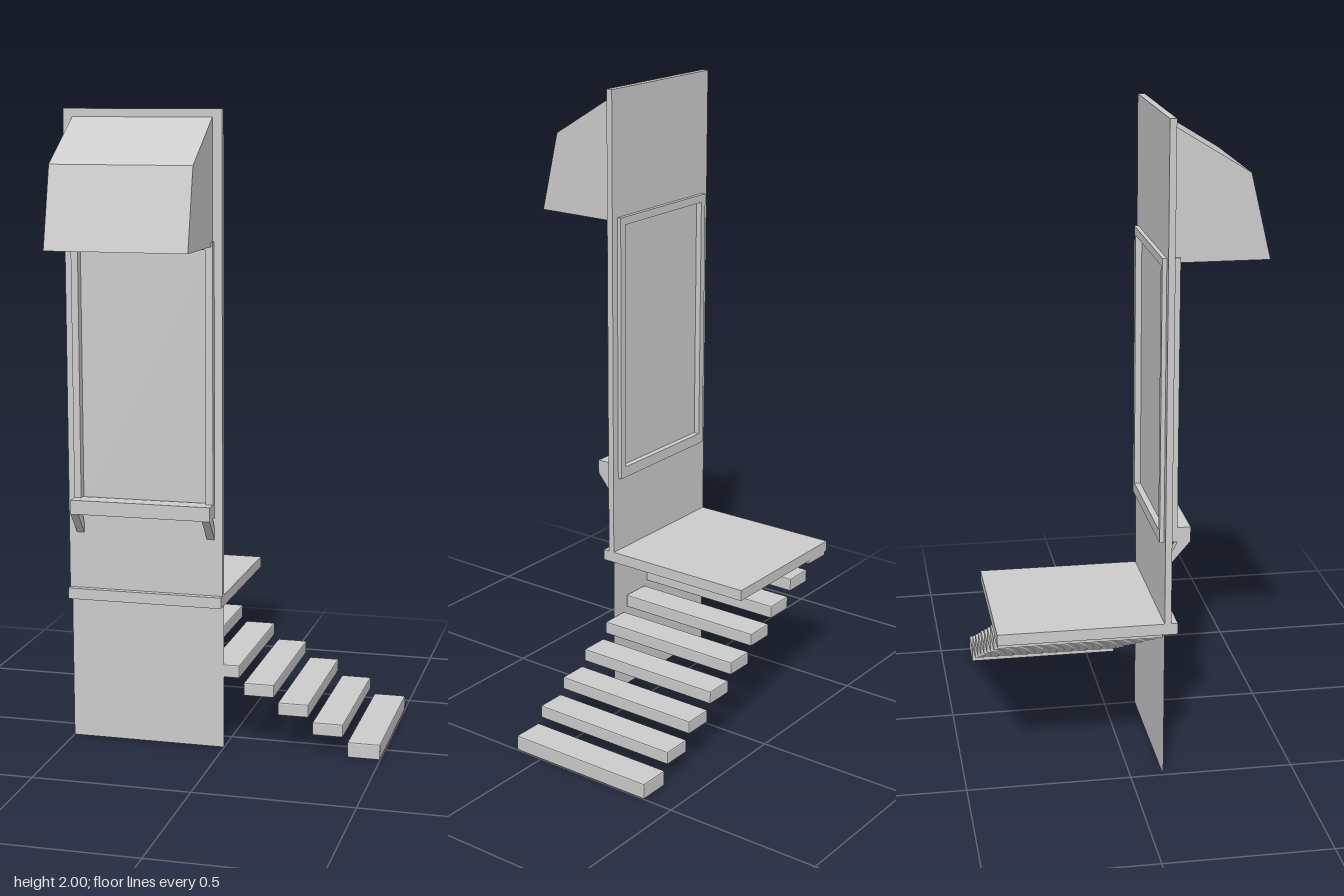
import * as THREE from 'three';
import { RoundedBoxGeometry } from 'three/addons/geometries/RoundedBoxGeometry.js';

const material = new THREE.MeshStandardMaterial({ color: 0xcccccc, flatShading: true });
const sheetMaterial = new THREE.MeshStandardMaterial({ color: 0xcccccc, side: THREE.DoubleSide });

function add(parent, name, geometry, mat = material) {
  const mesh = new THREE.Mesh(geometry, mat);
  mesh.name = name;
  parent.add(mesh);
  return mesh;
}

// Box given by its limits on each axis
function box(x0, x1, y0, y1, z0, z1) {
  return new THREE.BoxGeometry(x1 - x0, y1 - y0, z1 - z0)
    .translate((x0 + x1) / 2, (y0 + y1) / 2, (z0 + z1) / 2);
}

// Side profile of [z, y] points, extruded from x0 to x1
function sideProfile(points, x0, x1) {
  const shape = new THREE.Shape(points.map(([z, y]) => new THREE.Vector2(z, y)));
  return new THREE.ExtrudeGeometry(shape, { depth: x1 - x0, bevelEnabled: false })
    .rotateY(-Math.PI / 2).translate(x1, 0, 0);
}

// Rectangular slab with a rectangular opening; limits are [x0, x1, y0, y1]
function slabWithOpening(outer, inner, z0, z1) {
  const corners = ([x0, x1, y0, y1]) =>
    [[x0, y0], [x1, y0], [x1, y1], [x0, y1]].map(([x, y]) => new THREE.Vector2(x, y));
  const shape = new THREE.Shape(corners(outer));
  shape.holes.push(new THREE.Path(corners(inner).reverse()));
  return new THREE.ExtrudeGeometry(shape, { depth: z1 - z0, bevelEnabled: false }).translate(0, 0, z0);
}

export function createModel() {
  const model = new THREE.Group();
  model.name = 'servingHatch';

  // Wall with the hatch opening, and the thin sheet below the platform
  const frame = [-0.475, -0.025, 0.75, 1.605];
  const opening = [-0.453, -0.049, 0.785, 1.58];
  add(model, 'wall', slabWithOpening([-0.5, 0, 0.5, 2], opening, 0.1, 0.12));
  add(model, 'lowerWall', new THREE.PlaneGeometry(0.5, 0.465).translate(-0.25, 0.2325, 0.1), sheetMaterial);

  // Hatch frame standing out on both sides, with its recessed panel
  add(model, 'hatchFrame', slabWithOpening(frame, opening, 0.087, 0.14));
  add(model, 'hatchPanel', box(-0.453, -0.049, 0.785, 1.58, 0.106, 0.112));

  // Counter shelf on two diagonal braces
  add(model, 'shelf', box(-0.475, -0.025, 0.75, 0.795, 0.12, 0.18));
  const brace = [[0.12, 0.68], [0.18, 0.75], [0.14, 0.75], [0.12, 0.712]];
  for (const [name, x] of [['rightBrace', -0.475], ['leftBrace', -0.05]]) {
    add(model, name, sideProfile(brace, x, x + 0.025));
  }

  // Awning over the hatch
  add(model, 'awning', sideProfile([[0.12, 1.59], [0.4, 1.59], [0.34, 1.84], [0.12, 1.975]], -0.47, -0.03));

  // Platform behind the wall, with a lip in front
  add(model, 'platform', box(-0.5, 0, 0.465, 0.5, -0.4, 0.14));

  // Staircase climbing under the platform; the lowest tread is slightly bigger
  const stairs = new THREE.Group();
  stairs.name = 'stairs';
  model.add(stairs);
  for (let i = 0; i < 9; i++) {
    const width = i === 0 ? 0.104 : 0.098;
    const height = i === 0 ? 0.05 : 0.042;
    const right = i === 0 ? 0.5 : 0.493 - i * 0.111;
    const tread = add(stairs, 'tread', new RoundedBoxGeometry(width, height, 0.497, 1, 0.004));
    tread.position.set(right - width / 2, 0.05 + i * 0.0555 - height / 2, -0.1515);
  }

  return model;
}
